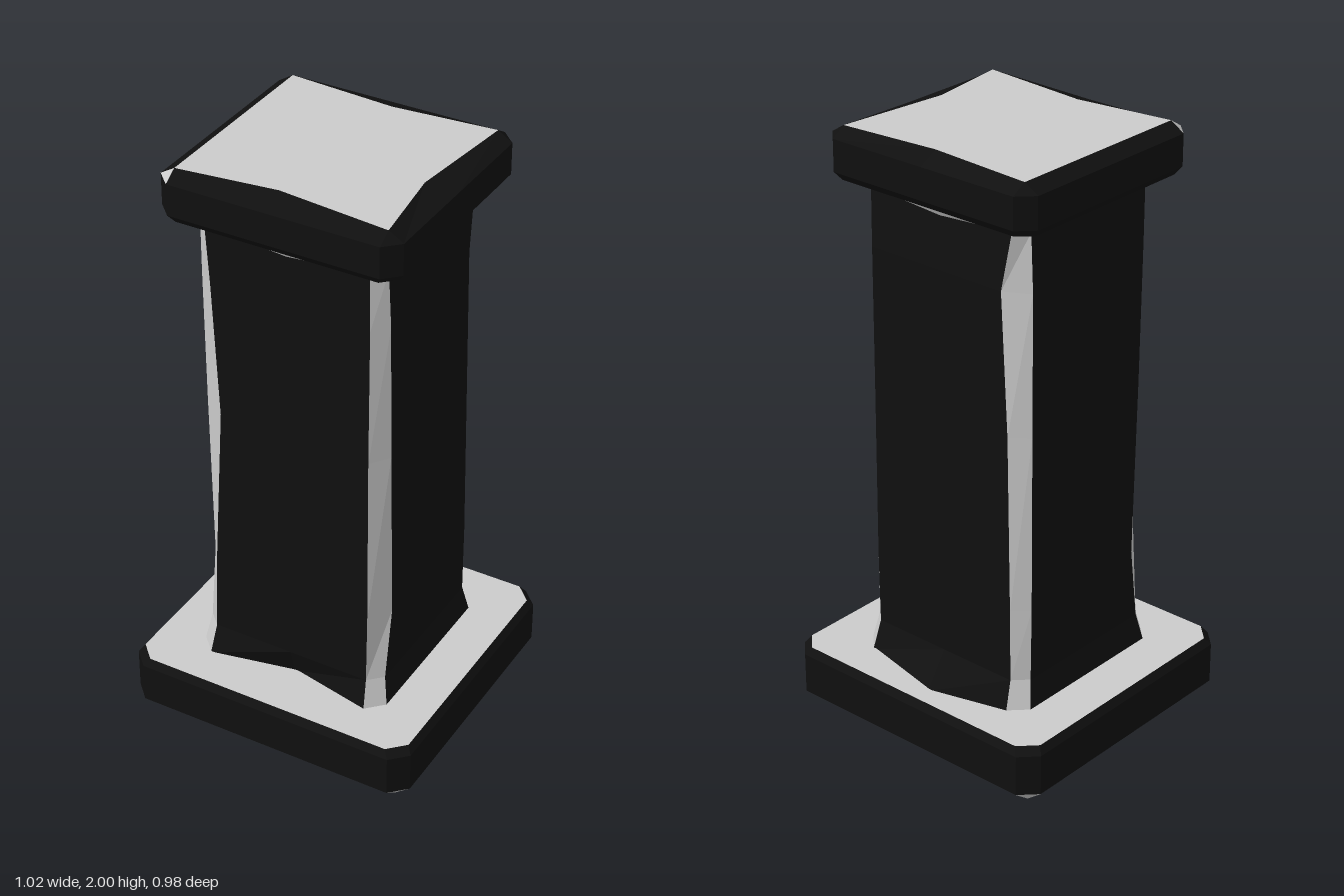
import * as THREE from 'three';

const dark = new THREE.MeshStandardMaterial({ color: 0x101010, flatShading: true });
const light = new THREE.MeshStandardMaterial({ color: 0xcccccc, flatShading: true });

// Cross-section: a rectangle with cut corners and a movable point midway along each side.
// cut: [x inset, z inset] per corner; mids: [along, outward, up] for front, -x, back, +x sides.
function ring(y, hx, hz, cut, mids = []) {
  const signs = [[1, 1], [-1, 1], [-1, -1], [1, -1]];
  const points = [];
  signs.forEach(([sx, sz], k) => {
    const [a, b] = Array.isArray(cut) ? cut[k] : [cut, cut];
    const onSide = new THREE.Vector3(sx * hx, y, sz * (hz - b));
    const onFace = new THREE.Vector3(sx * (hx - a), y, sz * hz);
    points.push(...(k % 2 ? [onFace, onSide] : [onSide, onFace]));
    const [along, out, up] = mids[k] || [0, 0, 0];
    points.push(k % 2
      ? new THREE.Vector3(sx * (hx + out), y + up, along)
      : new THREE.Vector3(along, y + up, sz * (hz + out)));
  });
  return points;
}

// Skins the rings from bottom to top; isLight(level, segment) picks the material.
function loft(name, rings, isLight, closed) {
  const faces = { dark: [], light: [] };
  const add = (lit, ...pts) => pts.forEach(p => faces[lit ? 'light' : 'dark'].push(p));
  for (let j = 0; j < rings.length - 1; j++) {
    const lo = rings[j], hi = rings[j + 1], n = lo.length;
    for (let i = 0; i < n; i++) {
      const m = (i + 1) % n, lit = isLight(j, i);
      add(lit, lo[i], hi[i], lo[m], hi[i], hi[m], lo[m]);
    }
  }
  if (closed) {
    const bottom = rings[0], top = rings[rings.length - 1], n = top.length;
    const cb = new THREE.Vector3(0, bottom[0].y, 0), ct = new THREE.Vector3(0, top[0].y, 0);
    for (let i = 0; i < n; i++) {
      const m = (i + 1) % n;
      add(true, cb, bottom[i], bottom[m], ct, top[m], top[i]);
    }
  }
  const group = new THREE.Group();
  group.name = name;
  for (const [key, material] of [['dark', dark], ['light', light]]) {
    const geometry = new THREE.BufferGeometry().setFromPoints(faces[key]);
    geometry.computeVertexNormals();
    const mesh = new THREE.Mesh(geometry, material);
    mesh.name = name + (key === 'dark' ? 'Panels' : 'Trim');
    group.add(mesh);
  }
  return group;
}

export function createModel() {
  const model = new THREE.Group();
  model.name = 'pillar';

  // Base slab with a light underside bevel
  model.add(loft('base', [
    ring(0, 0.46, 0.435, 0),
    ring(0.04, 0.512, 0.489, 0.055),
    ring(0.18, 0.512, 0.489, 0.055),
    ring(0.205, 0.495, 0.472, 0.055),
  ], j => j === 0, true));

  // Worn shaft: flared foot, uneven corner chamfers, light collar under the cap
  const foot = [[0, -0.06, 0], [0, 0, 0], [-0.02, 0.07, 0], [0, 0, 0]];
  const dip = [[0, 0, -0.025], [0, 0, -0.015], [0, 0, -0.02], [0, 0, -0.01]];
  model.add(loft('shaft', [
    ring(0.2, 0.343, 0.34, 0.055, foot),
    ring(0.3, 0.325, 0.31, 0.045),
    ring(0.55, 0.328, 0.31, [[0.045, 0.08], [0.055, 0.08], [0.05, 0.045], [0.045, 0.05]]),
    ring(1.15, 0.326, 0.308, [[0.045, 0.062], [0.085, 0.06], [0.06, 0.045], [0.045, 0.062]]),
    ring(1.62, 0.325, 0.307, [[0.042, 0.05], [0.06, 0.05], [0.085, 0.045], [0.045, 0.073]]),
    ring(1.815, 0.32, 0.305, 0.04, dip),
    ring(1.845, 0.35, 0.335, 0.04),
  ], (j, i) => j === 5 || i % 3 === 0, false));

  // Cap with chipped top edges and one light broken corner
  const chips = [[-0.025, -0.04, 0], [0, 0, 0], [0.01, -0.028, 0], [0.05, -0.04, 0]];
  model.add(loft('cap', [
    ring(1.838, 0.385, 0.365, 0.045),
    ring(1.865, 0.405, 0.386, 0.05),
    ring(1.97, 0.405, 0.386, 0.05),
    ring(2, 0.356, 0.337, 0, chips),
  ], (j, i) => j === 2 && i === 3, true));

  return model;
}
